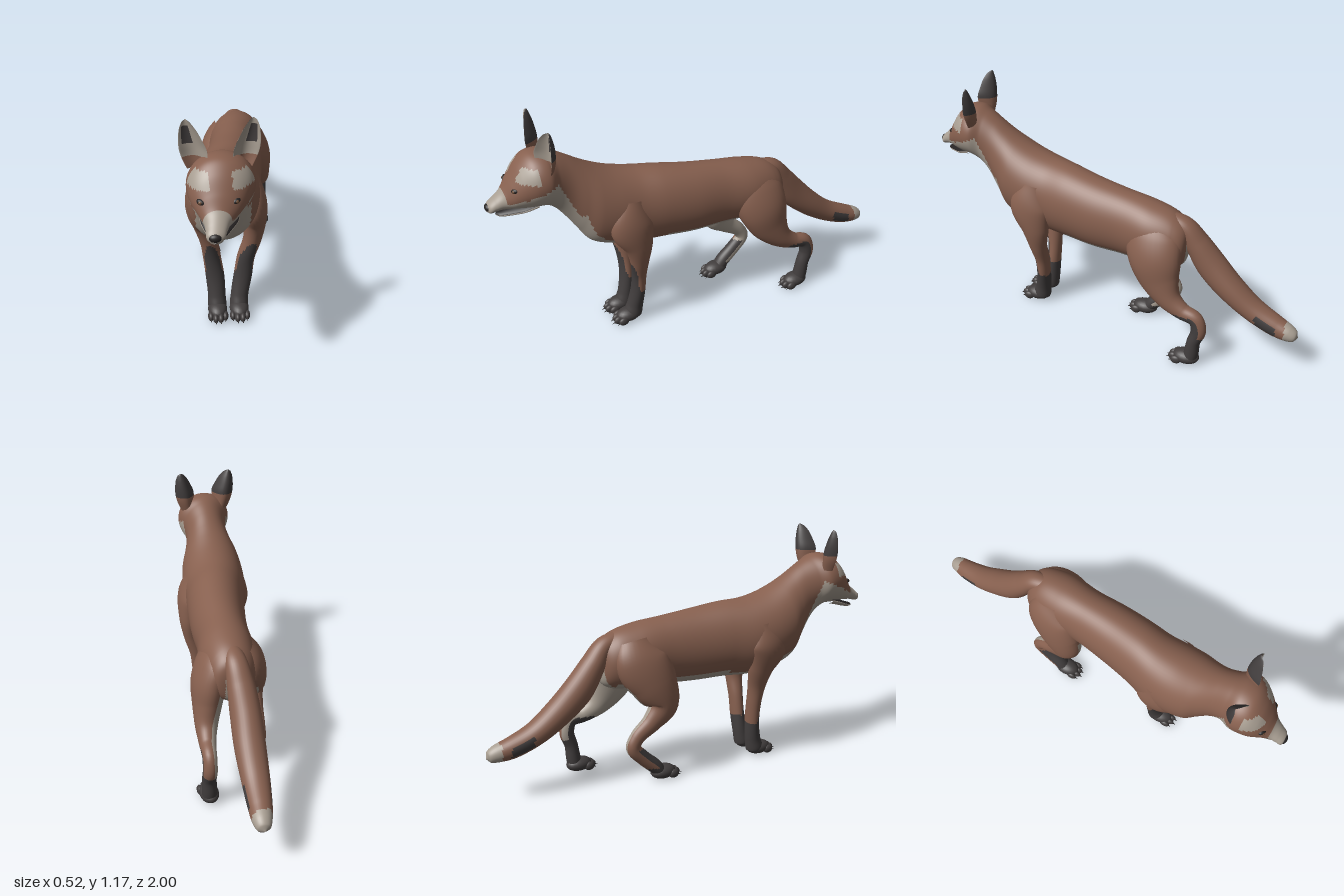
import * as THREE from 'three';

const V = (x, y, z) => new THREE.Vector3(x, y, z);
const mat = (name, color) => {
  const m = new THREE.MeshStandardMaterial({ color });
  m.name = name;
  return m;
};

export function createModel() {
  const fox = new THREE.Group();
  fox.name = 'fox';
  const mats = [
    mat('russet fur', 0x87604f), mat('cream fur', 0xa89e92), mat('charcoal fur', 0x423e3e),
    mat('nose black', 0x262323), mat('amber eye', 0x6a4a32),
  ];
  const [RUSSET, CREAM, CHARCOAL, BLACK, AMBER] = [0, 1, 2, 3, 4];

  // Lofted skin: frame(t) gives centre C, side A, up B and optional cupping D; rule picks a colour per face
  function loft(name, frame, rings, sides, rule) {
    const pos = [], byColour = mats.map(() => []);
    for (let i = 0; i <= rings; i++) {
      const { C, A, B, D } = frame(i / rings);
      for (let j = 0; j < sides; j++) {
        const a = (j / sides) * Math.PI * 2, c = Math.cos(a), s = Math.sin(a);
        const p = C.clone().addScaledVector(A, c).addScaledVector(B, s);
        if (D) p.addScaledVector(D, c * c);
        pos.push(p.x, p.y, p.z);
      }
    }
    const at = (k) => V(pos[3 * k], pos[3 * k + 1], pos[3 * k + 2]);
    for (let i = 0; i < rings; i++) for (let j = 0; j < sides; j++) {
      const k = (j + 1) % sides;
      const a = i * sides + j, b = i * sides + k, c = a + sides, d = b + sides;
      const ang = ((j + 0.5) / sides) * Math.PI * 2;
      const mid = at(a).add(at(d)).multiplyScalar(0.5);
      byColour[rule(mid, Math.cos(ang), Math.sin(ang))].push(a, b, c, b, d, c);
    }
    const g = new THREE.BufferGeometry();
    g.setAttribute('position', new THREE.Float32BufferAttribute(pos, 3));
    g.setIndex(byColour.flat());
    let start = 0;
    byColour.forEach((list, m) => {
      if (list.length) g.addGroup(start, list.length, m);
      start += list.length;
    });
    g.computeVertexNormals();
    const mesh = new THREE.Mesh(g, mats);
    mesh.name = name;
    fox.add(mesh);
  }
  const curve = (pts) => new THREE.CatmullRomCurve3(pts);

  // Trunk-like part: rows of [x, zTop, yTop, zBottom, yBottom, halfWidth]
  function trunk(name, rows, rings, sides, rule) {
    const top = curve(rows.map((r) => V(r[0], r[2], r[1])));
    const bottom = curve(rows.map((r) => V(r[0], r[4], r[3])));
    const width = curve(rows.map((r, i) => V(r[5], i, 0)));
    loft(name, (t) => {
      const p = top.getPoint(t), q = bottom.getPoint(t);
      return {
        C: p.clone().add(q).multiplyScalar(0.5),
        A: V(Math.max(0.001, width.getPoint(t).x), 0, 0),
        B: p.clone().sub(q).multiplyScalar(0.5),
      };
    }, rings, sides, rule);
  }

  // Limb-like part: rows of [x, y, z, sideRadius, foreRadius] swept along a curve
  function limb(name, rows, rule) {
    const path = curve(rows.map((r) => V(r[0], r[1], r[2])));
    const radii = curve(rows.map((r, i) => V(r[3], r[4], i)));
    loft(name, (t) => {
      const T = path.getTangent(t), r = radii.getPoint(t);
      const A = V(1, 0, 0).addScaledVector(T, -T.x).normalize();
      const B = T.clone().cross(A).multiplyScalar(Math.max(0.001, r.y));
      return { C: path.getPoint(t), A: A.multiplyScalar(Math.max(0.001, r.x)), B };
    }, 72, 32, rule);
  }

  function ball(name, m, x, y, z, rx, ry, rz) {
    const mesh = new THREE.Mesh(new THREE.SphereGeometry(1, 20, 14), mats[m]);
    mesh.name = name;
    mesh.position.set(x, y, z);
    mesh.scale.set(rx, ry, rz);
    fox.add(mesh);
    return mesh;
  }

  // Body, neck and head in one skin
  trunk('body', [
    [0.07, -0.445, 0.64, -0.44, 0.6, 0.005],
    [0.068, -0.42, 0.7, -0.425, 0.5, 0.08],
    [0.06, -0.36, 0.745, -0.38, 0.47, 0.115],
    [0.05, -0.25, 0.775, -0.25, 0.46, 0.135],
    [0.03, -0.1, 0.795, -0.1, 0.455, 0.13],
    [0.01, 0.05, 0.815, 0.05, 0.45, 0.14],
    [-0.02, 0.2, 0.838, 0.2, 0.455, 0.15],
    [-0.05, 0.32, 0.85, 0.32, 0.455, 0.16],
    [-0.065, 0.42, 0.875, 0.44, 0.475, 0.165],
    [-0.075, 0.5, 0.91, 0.55, 0.52, 0.155],
    [-0.08, 0.56, 0.945, 0.605, 0.6, 0.13],
    [-0.085, 0.62, 0.985, 0.655, 0.68, 0.112],
    [-0.09, 0.68, 1.02, 0.7, 0.74, 0.115],
    [-0.095, 0.73, 1.04, 0.745, 0.775, 0.138],
    [-0.1, 0.79, 1.035, 0.79, 0.78, 0.134],
    [-0.107, 0.84, 0.995, 0.83, 0.78, 0.115],
    [-0.113, 0.885, 0.93, 0.875, 0.783, 0.084],
    [-0.122, 0.92, 0.875, 0.915, 0.783, 0.054],
    [-0.128, 0.955, 0.843, 0.95, 0.78, 0.042],
    [-0.133, 0.982, 0.82, 0.98, 0.773, 0.034],
    [-0.135, 0.997, 0.802, 0.995, 0.78, 0.006],
  ], 220, 64, (p, c, s) => {
    const { x, y, z } = p;
    if (z > 0.78 && z < 0.872 && y > 0.935 && y < 0.998 && Math.abs(x + 0.105) > 0.045) return CREAM;
    if (z > 0.7) return z > 0.915 || y < 0.8 + (0.97 - z) * 0.45 ? CREAM : RUSSET;
    if (z > 0.45) {
      const bib = z > 0.59 + Math.max(0, y - 0.66) * 0.45;
      return bib || (s < 0 && y < 0.72 && Math.abs(x + 0.075) < 0.12) ? CREAM : RUSSET;
    }
    if (z < -0.38) return y < 0.62 && Math.abs(x - 0.06) < 0.05 ? CREAM : RUSSET;
    return s < (z > 0.2 ? -0.85 : -0.68) ? CREAM : RUSSET;
  });

  // Lower jaw with dark mouth lining on top
  trunk('lowerJaw', [
    [-0.105, 0.79, 0.82, 0.78, 0.78, 0.085],
    [-0.11, 0.85, 0.8, 0.84, 0.765, 0.075],
    [-0.118, 0.89, 0.783, 0.885, 0.753, 0.052],
    [-0.126, 0.925, 0.77, 0.922, 0.745, 0.033],
    [-0.13, 0.945, 0.764, 0.943, 0.745, 0.022],
    [-0.131, 0.957, 0.757, 0.957, 0.752, 0.003],
  ], 30, 28, (p, c, s) => (s > 0.25 ? BLACK : CREAM));

  ball('nose', BLACK, -0.135, 0.798, 0.983, 0.025, 0.018, 0.017);

  for (const side of [-1, 1]) {
    const tag = side > 0 ? 'left' : 'right';
    // Eyes: dark lid with an amber centre
    const lid = ball(tag + 'EyeLid', BLACK, -0.115 + side * 0.068, 0.896, 0.878, 0.019, 0.012, 0.012);
    lid.rotation.set(0, side * 0.6, side * 0.25);
    ball(tag + 'Eye', AMBER, -0.115 + side * 0.07, 0.896, 0.885, 0.009, 0.008, 0.007);

    // Ears: cupped leaves, rows of [offset from head centre, y, z, halfWidth]
    const rows = [
      [0.085, 0.97, 0.735, 0.04], [0.095, 1.02, 0.73, 0.05], [0.1, 1.06, 0.73, 0.054],
      [0.11, 1.1, 0.732, 0.046], [0.12, 1.14, 0.737, 0.033], [0.128, 1.168, 0.742, 0.016],
      [0.131, 1.177, 0.744, 0.002],
    ];
    const path = curve(rows.map((r) => V(-0.1 + side * r[0], r[1], r[2] - 0.018)));
    const width = curve(rows.map((r, i) => V(r[3], i, 0)));
    loft(tag + 'Ear', (t) => {
      const w = Math.max(0.001, width.getPoint(t).x);
      return {
        C: path.getPoint(t), A: V(w, 0, -side * w * 0.35),
        B: V(0, 0, -0.2 * w), D: V(side * w * 0.1, 0, w * 0.8),
      };
    }, 36, 36, (p, c, s) => {
      if (p.y < 1.02) return RUSSET;
      if (s > 0) return p.y > 1.05 ? CHARCOAL : RUSSET;
      return p.y > 1.075 && p.y < 1.15 && c * side > 0 && c * side < 0.75 ? CHARCOAL : CREAM;
    });
  }

  // Tail with dark side patches and pale tip
  limb('tail', [
    [0.055, 0.715, -0.33, 0.04, 0.035], [0.055, 0.685, -0.41, 0.052, 0.045],
    [0.05, 0.6, -0.475, 0.064, 0.06], [0.05, 0.497, -0.55, 0.071, 0.073],
    [0.06, 0.4, -0.65, 0.071, 0.067], [0.07, 0.315, -0.765, 0.064, 0.057],
    [0.085, 0.262, -0.88, 0.054, 0.052], [0.097, 0.243, -0.95, 0.044, 0.042],
    [0.1, 0.232, -0.985, 0.03, 0.028], [0.1, 0.228, -1, 0.002, 0.002],
  ], (p, c, s) => {
    if (p.z < -0.935) return CREAM;
    return p.z < -0.79 && p.z > -0.895 && s > -0.35 && s < 0.5 ? CHARCOAL : RUSSET;
  });

  // Front legs
  const frontRule = (p, c, s) =>
    p.y < 0.2 + 0.2 * Math.max(0, s) * (Math.abs(c) < 0.8 ? 1 : 0.4) ? CHARCOAL : RUSSET;
  const foreRadii = [
    [0.74, 0.37, 0.045, 0.07], [0.62, 0.385, 0.06, 0.11], [0.5, 0.362, 0.052, 0.072],
    [0.4, 0.356, 0.043, 0.047], [0.3, 0.35, 0.042, 0.036], [0.2, 0.352, 0.044, 0.034],
    [0.1, 0.364, 0.042, 0.04], [0.04, 0.378, 0.043, 0.045], [0.02, 0.38, 0.02, 0.02],
  ];
  const foreX = {
    left: [0.05, 0.075, 0.085, 0.075, 0.047, 0.033, 0.017, 0.013, 0.013],
    right: [-0.16, -0.175, -0.15, -0.127, -0.113, -0.1, -0.093, -0.092, -0.092],
  };
  for (const tag of ['left', 'right'])
    limb(tag + 'FrontLeg', foreRadii.map((r, i) => [foreX[tag][i], ...r]), frontRule);

  // Hind legs: left one back, right one stepping forward
  limb('leftHindLeg', [
    [0.09, 0.7, -0.27, 0.055, 0.1], [0.125, 0.62, -0.28, 0.075, 0.135], [0.155, 0.53, -0.3, 0.08, 0.13],
    [0.172, 0.43, -0.335, 0.068, 0.1], [0.19, 0.35, -0.39, 0.053, 0.062],
    [0.203, 0.305, -0.46, 0.04, 0.042], [0.212, 0.283, -0.53, 0.034, 0.037],
    [0.215, 0.22, -0.55, 0.034, 0.037], [0.215, 0.15, -0.53, 0.034, 0.033],
    [0.212, 0.08, -0.522, 0.036, 0.036], [0.21, 0.03, -0.515, 0.036, 0.035],
  ], (p, c, s) => {
    if (p.y < 0.19 || (p.y < 0.3 && p.z < -0.42 && s > -0.25)) return CHARCOAL;
    return c < -0.45 && p.y < 0.52 ? CREAM : RUSSET;
  });
  limb('rightHindLeg', [
    [0.0, 0.7, -0.27, 0.06, 0.1], [-0.04, 0.61, -0.26, 0.08, 0.135], [-0.07, 0.5, -0.21, 0.08, 0.12],
    [-0.088, 0.39, -0.175, 0.065, 0.08], [-0.09, 0.315, -0.235, 0.045, 0.05],
    [-0.087, 0.25, -0.315, 0.035, 0.037], [-0.086, 0.2, -0.338, 0.034, 0.036],
    [-0.088, 0.14, -0.29, 0.035, 0.036], [-0.09, 0.08, -0.225, 0.037, 0.036],
    [-0.09, 0.04, -0.19, 0.036, 0.03],
  ], (p, c, s) => {
    if (p.y < 0.08 || (p.y < 0.19 && s > 0.15)) return CHARCOAL;
    return c > -0.1 && p.y < 0.5 ? CREAM : RUSSET;
  });

  // Paws: pad, four toes and claws
  const claw = new THREE.ConeGeometry(0.005, 0.022, 8).rotateX(Math.PI / 2 + 0.35);
  function paw(name, x, z) {
    ball(name, CHARCOAL, x, 0.042, z, 0.046, 0.036, 0.066);
    [-0.034, -0.012, 0.012, 0.034].forEach((dx, i) => {
      const dz = i % 3 ? 0.06 : 0.043;
      ball(name + 'Toe', CHARCOAL, x + dx, 0.03, z + dz, 0.0145, 0.022, 0.027);
      const c = new THREE.Mesh(claw, mats[BLACK]);
      c.name = name + 'Claw';
      c.position.set(x + dx, 0.022, z + dz + 0.029);
      fox.add(c);
    });
  }
  paw('leftFrontPaw', 0.012, 0.4);
  paw('rightFrontPaw', -0.092, 0.4);
  paw('leftHindPaw', 0.208, -0.495);
  paw('rightHindPaw', -0.09, -0.178);

  return fox;
}
